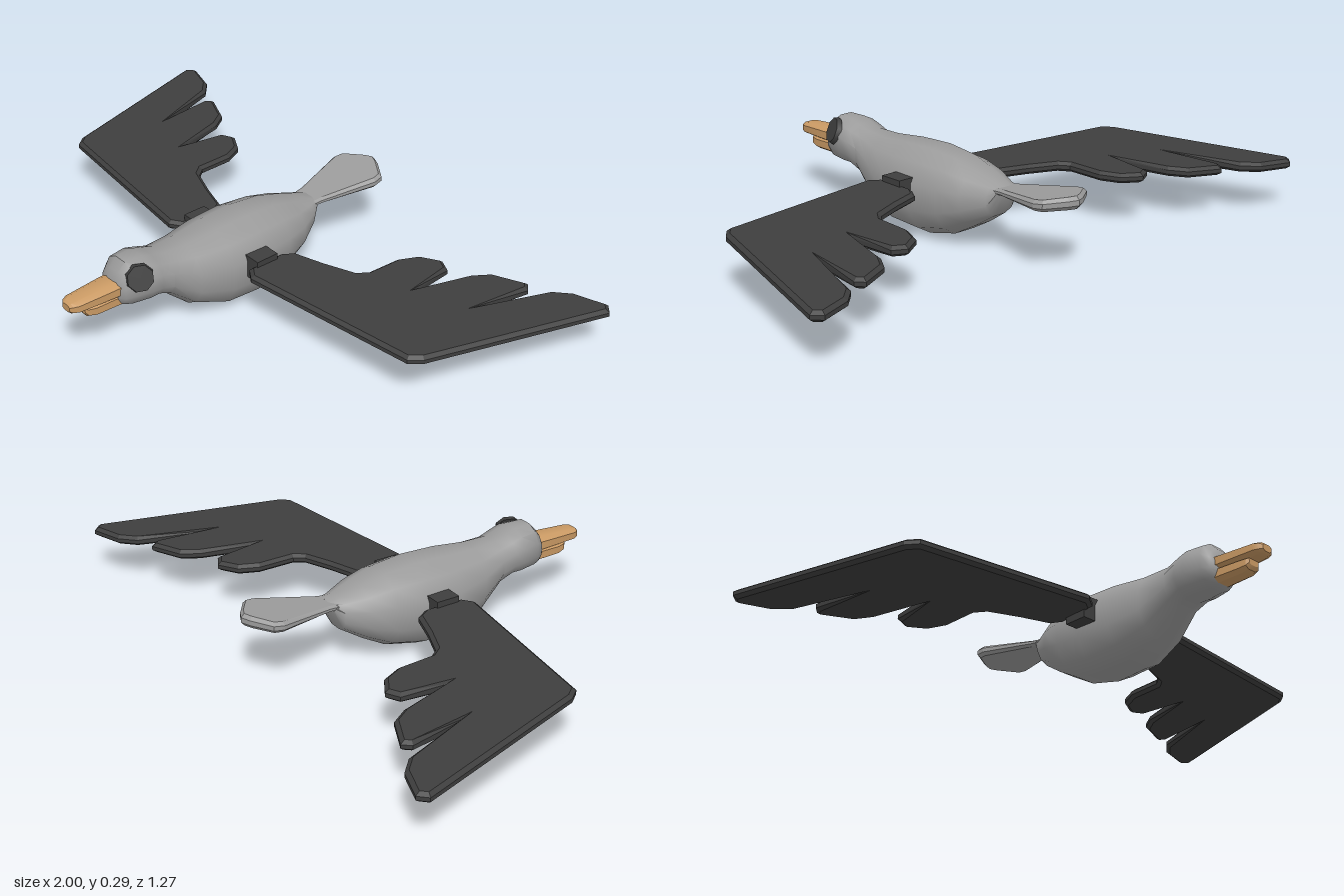
import * as THREE from 'three';
import { toCreasedNormals } from 'three/addons/utils/BufferGeometryUtils.js';

const mat = (name, color) => Object.assign(new THREE.MeshStandardMaterial({ color }), { name });

// Closed skin over rings [z, top, bottom, halfWidth] placed along z
function loft(sections, sides, power, crease) {
  const pos = [], idx = [], n = sections.length;
  const bend = (v) => Math.sign(v) * Math.abs(v) ** power;
  for (const [z, top, bottom, w] of sections) {
    for (let j = 0; j < sides; j++) {
      const a = ((j + 0.5) / sides) * Math.PI * 2;
      const k = 1 / Math.cos(Math.PI / sides) ** power;
      pos.push(w * k * bend(Math.cos(a)), (top + bottom) / 2 + ((top - bottom) / 2) * k * bend(Math.sin(a)), z);
    }
  }
  for (let i = 0; i < n - 1; i++) {
    for (let j = 0; j < sides; j++) {
      const a = i * sides + j, b = i * sides + ((j + 1) % sides);
      idx.push(a, b, b + sides, a, b + sides, a + sides);
    }
  }
  // end caps
  const c0 = n * sides, last = (n - 1) * sides;
  for (const s of [sections[0], sections[n - 1]]) pos.push(0, (s[1] + s[2]) / 2, s[0]);
  for (let j = 0; j < sides; j++) {
    const k = (j + 1) % sides;
    idx.push(c0, k, j, c0 + 1, last + j, last + k);
  }
  const g = new THREE.BufferGeometry();
  g.setAttribute('position', new THREE.Float32BufferAttribute(pos, 3));
  g.setIndex(idx);
  return toCreasedNormals(g, crease);
}

// Bevelled flat plate from an (x, z) outline; height(z) gives its mid level, thick(z) its thickness
function plate(outline, bevel, height, thick) {
  const shape = new THREE.Shape(outline.map(([x, z]) => new THREE.Vector2(x, -z)));
  const g = new THREE.ExtrudeGeometry(shape, {
    depth: 0.4, bevelThickness: 0.3, bevelSize: bevel, bevelOffset: -bevel, bevelSegments: 1,
  });
  g.translate(0, 0, -0.2).rotateX(-Math.PI / 2);
  const p = g.attributes.position;
  for (let i = 0; i < p.count; i++) {
    const z = p.getZ(i);
    p.setY(i, height(z) + p.getY(i) * thick(z));
  }
  g.computeVertexNormals();
  return g;
}

export function createModel() {
  const group = new THREE.Group();
  const grey = mat('plumage grey', 0x9c9c9c);
  const dark = mat('wing charcoal', 0x3e3e3e);
  const tan = mat('beak tan', 0xca9a64);
  const add = (name, geometry, material) => {
    const m = new THREE.Mesh(geometry, material);
    m.name = name;
    group.add(m);
    return m;
  };

  // Body, neck and head
  add('body', loft([
    [-0.315, 0.216, 0.195, 0.045],
    [-0.285, 0.226, 0.12, 0.063],
    [-0.21, 0.247, 0.072, 0.103],
    [-0.13, 0.268, 0.028, 0.122],
    [-0.02, 0.278, 0.003, 0.134],
    [0.1, 0.274, 0.008, 0.129],
    [0.21, 0.264, 0.05, 0.103],
    [0.295, 0.266, 0.123, 0.08],
    [0.34, 0.279, 0.143, 0.084],
    [0.375, 0.291, 0.141, 0.084],
    [0.435, 0.291, 0.143, 0.072],
    [0.46, 0.264, 0.15, 0.058],
    [0.475, 0.235, 0.165, 0.04],
  ], 12, 0.88, 0.75), grey);

  // Beak halves
  add('upperBeak', loft([
    [0.44, 0.238, 0.188, 0.046],
    [0.5, 0.235, 0.188, 0.043],
    [0.61, 0.229, 0.19, 0.036],
    [0.628, 0.226, 0.192, 0.028],
    [0.636, 0.22, 0.197, 0.018],
  ], 8, 0.7, 0.5), tan);
  add('lowerBeak', loft([
    [0.43, 0.2, 0.152, 0.04],
    [0.55, 0.195, 0.152, 0.034],
    [0.575, 0.195, 0.158, 0.028],
    [0.583, 0.194, 0.17, 0.02],
  ], 8, 0.7, 0.5), tan);

  // Tail fan
  const half = [[0.046, -0.29], [0.05, -0.33], [0.1, -0.515], [0.094, -0.548]];
  const tailOutline = [...half, [0.03, -0.592], [0, -0.605], [-0.03, -0.592],
    ...half.map(([x, z]) => [-x, z]).reverse()];
  add('tail', plate(tailOutline, 0.01,
    (z) => 0.205 + (-0.3 - z) * 0.092,
    (z) => 0.018 + (-0.3 - z) * 0.075), grey);

  // Wings with three feather fingers, and their shoulder joints
  const wing = [
    [0.155, -0.06], [0.18, -0.1], [0.28, -0.132], [0.375, -0.17], [0.398, -0.2],
    [0.402, -0.32], [0.432, -0.385], [0.495, -0.423], [0.54, -0.4], [0.556, -0.24],
    [0.603, -0.43], [0.64, -0.487], [0.745, -0.535], [0.768, -0.51], [0.733, -0.305],
    [0.815, -0.555], [0.865, -0.602], [0.97, -0.637], [0.998, -0.61],
    [0.82, -0.015], [0.79, 0.022], [0.2, 0.098], [0.16, 0.07],
  ];
  for (const [side, s] of [['left', 1], ['right', -1]]) {
    add(`${side}Wing`, plate(wing.map(([x, z]) => [s * x, z]), 0.012,
      (z) => 0.168 + z * 0.021, () => 0.032), dark);
    add(`${side}WingJoint`, new THREE.BoxGeometry(0.065, 0.075, 0.08), dark)
      .position.set(s * 0.145, 0.166, 0.012);
  }

  // Patch over the left eye, tilted to lie on the head
  const patch = add('eyePatch', new THREE.CylinderGeometry(0.042, 0.046, 0.016, 8), dark);
  patch.position.set(0.068, 0.25, 0.415);
  patch.quaternion.setFromUnitVectors(new THREE.Vector3(0, 1, 0), new THREE.Vector3(1, 0.4, 0.4).normalize());

  // Small right eye
  const eye = add('rightEye', new THREE.CylinderGeometry(0.008, 0.008, 0.008, 8), dark);
  eye.position.set(-0.061, 0.25, 0.425);
  eye.quaternion.setFromUnitVectors(new THREE.Vector3(0, 1, 0), new THREE.Vector3(-1, 0.4, 0.4).normalize());

  return group;
}
